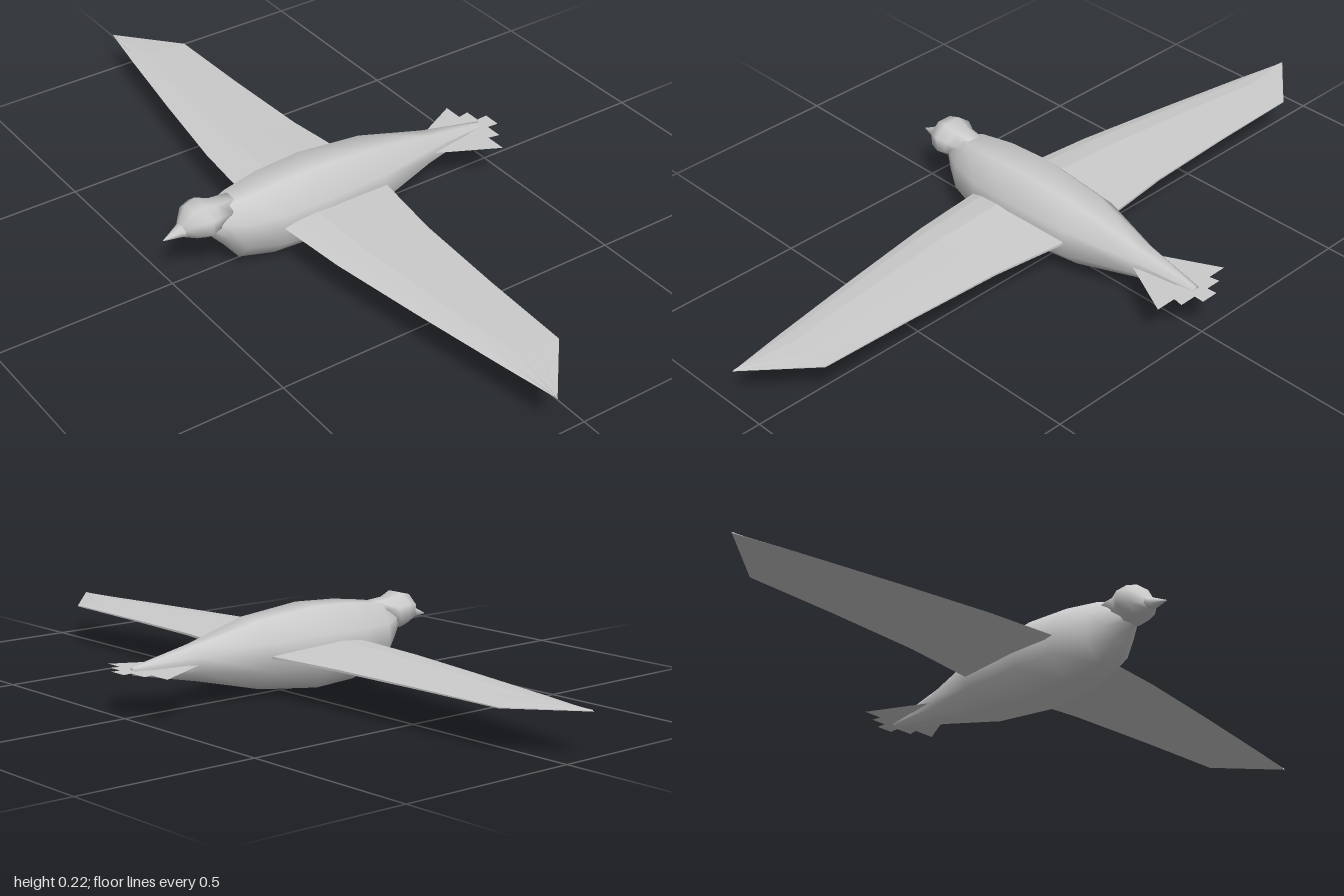
import * as THREE from 'three';

const material = new THREE.MeshStandardMaterial({ color: 0xcccccc });
const flatMaterial = new THREE.MeshStandardMaterial({ color: 0xcccccc, flatShading: true, side: THREE.DoubleSide });

// Skin a list of closed rings of [x, y, z] points
function loft(rings, flip = false) {
  const n = rings[0].length, index = [];
  for (let i = 0; i < rings.length - 1; i++) {
    for (let j = 0; j < n; j++) {
      const a = i * n + j, b = i * n + (j + 1) % n, c = a + n, d = b + n;
      if (flip) index.push(a, d, b, a, c, d);
      else index.push(a, b, d, a, d, c);
    }
  }
  const geometry = new THREE.BufferGeometry();
  geometry.setAttribute('position', new THREE.Float32BufferAttribute(rings.flat(2), 3));
  geometry.setIndex(index);
  geometry.computeVertexNormals();
  return geometry;
}

// Eight-sided ring, possibly slanted: top z and y, bottom z and y, half width
function octagon([zTop, yTop, zLow, yLow, halfWidth]) {
  const k = 1 / Math.cos(Math.PI / 8);
  return Array.from({ length: 8 }, (_, j) => {
    const angle = (j + 0.5) * Math.PI / 4;
    const up = 0.5 + 0.5 * k * Math.sin(angle);
    return [halfWidth * k * Math.cos(angle), yLow + (yTop - yLow) * up, zLow + (zTop - zLow) * up];
  });
}

function addMesh(parent, name, geometry, mat) {
  const mesh = new THREE.Mesh(geometry, mat);
  mesh.name = name;
  parent.add(mesh);
}

// Wing with a flat underside and an arched top, thinner towards the tip
function wing(side) {
  const stations = [ // x, trailing z, leading z, camber
    [0, -0.105, 0.228, 1], [0.1, -0.1, 0.224, 1], [0.3, -0.075, 0.205, 0.8],
    [0.57, -0.062, 0.163, 0.6], [0.835, -0.055, 0.118, 0.4], [0.995, 0.084, 0.088, 0.2], [1, 0.086, 0.087, 0],
  ];
  const section = [[0, 0.007], [0.35, 0.015], [0.7, 0.021], [0.9, 0.014], [1, 0.005], [0.93, 0], [0, 0]];
  const rings = stations.map(([x, back, front, camber]) =>
    section.map(([t, h]) => [side * x, 0.112 + h * camber, back + (front - back) * t]));
  return loft(rings, side < 0);
}

// Flat tail feather: outline of x, z corners at a given height
function feather(corners, y) {
  const geometry = new THREE.ShapeGeometry(new THREE.Shape(corners.map(([x, z]) => new THREE.Vector2(x, -z))));
  geometry.rotateX(-Math.PI / 2);
  geometry.translate(0, y, 0);
  return geometry;
}

export function createModel() {
  const bird = new THREE.Group();
  bird.name = 'bird';

  // Body, from the tail end to the throat
  const body = [ // z, top, bottom, half width
    [-0.475, 0.119, 0.117, 0.001], [-0.473, 0.129, 0.108, 0.011], [-0.29, 0.161, 0.07, 0.04],
    [-0.1, 0.204, 0.025, 0.09], [0.09, 0.22, 0.003, 0.105], [0.22, 0.213, 0.009, 0.1],
    [0.32, 0.2, 0.03, 0.075], [0.36, 0.187, 0.08, 0.055], [0.4, 0.165, 0.122, 0.028], [0.405, 0.15, 0.14, 0.001],
  ].map(([z, top, low, w]) => octagon([z, top, z, low, w]));
  addMesh(bird, 'body', loft(body), material);

  // Head, slanted at the neck
  const head = [
    [0.34, 0.18, 0.36, 0.15, 0.002], [0.32, 0.2, 0.385, 0.128, 0.042], [0.375, 0.203, 0.395, 0.124, 0.048],
    [0.41, 0.216, 0.405, 0.122, 0.06], [0.442, 0.208, 0.435, 0.128, 0.05],
    [0.468, 0.173, 0.465, 0.137, 0.022], [0.47, 0.157, 0.467, 0.147, 0.002],
  ].map(octagon);
  addMesh(bird, 'head', loft(head), material);

  // Beak
  const beak = [[0.455, 0.178, 0.455, 0.137, 0.028], [0.475, 0.166, 0.475, 0.139, 0.018], [0.52, 0.144, 0.52, 0.142, 0.001]].map(octagon);
  addMesh(bird, 'beak', loft(beak), material);

  // Wings
  addMesh(bird, 'leftWing', wing(1), flatMaterial);
  addMesh(bird, 'rightWing', wing(-1), flatMaterial);

  // Fanned tail feathers
  const tail = new THREE.Group();
  tail.name = 'tail';
  addMesh(tail, 'middleFeather', feather([[-0.01, -0.28], [0.01, -0.28], [0.025, -0.52], [-0.025, -0.52]], 0.12), flatMaterial);
  for (const s of [1, -1]) {
    const name = s > 0 ? 'left' : 'right';
    addMesh(tail, name + 'InnerFeather', feather([[0, -0.28], [s * 0.03, -0.28], [s * 0.07, -0.49], [s * 0.015, -0.49]], 0.118), flatMaterial);
    addMesh(tail, name + 'OuterFeather', feather([[0, -0.28], [s * 0.03, -0.28], [s * 0.122, -0.46], [s * 0.05, -0.46]], 0.116), flatMaterial);
  }
  bird.add(tail);
  return bird;
}
